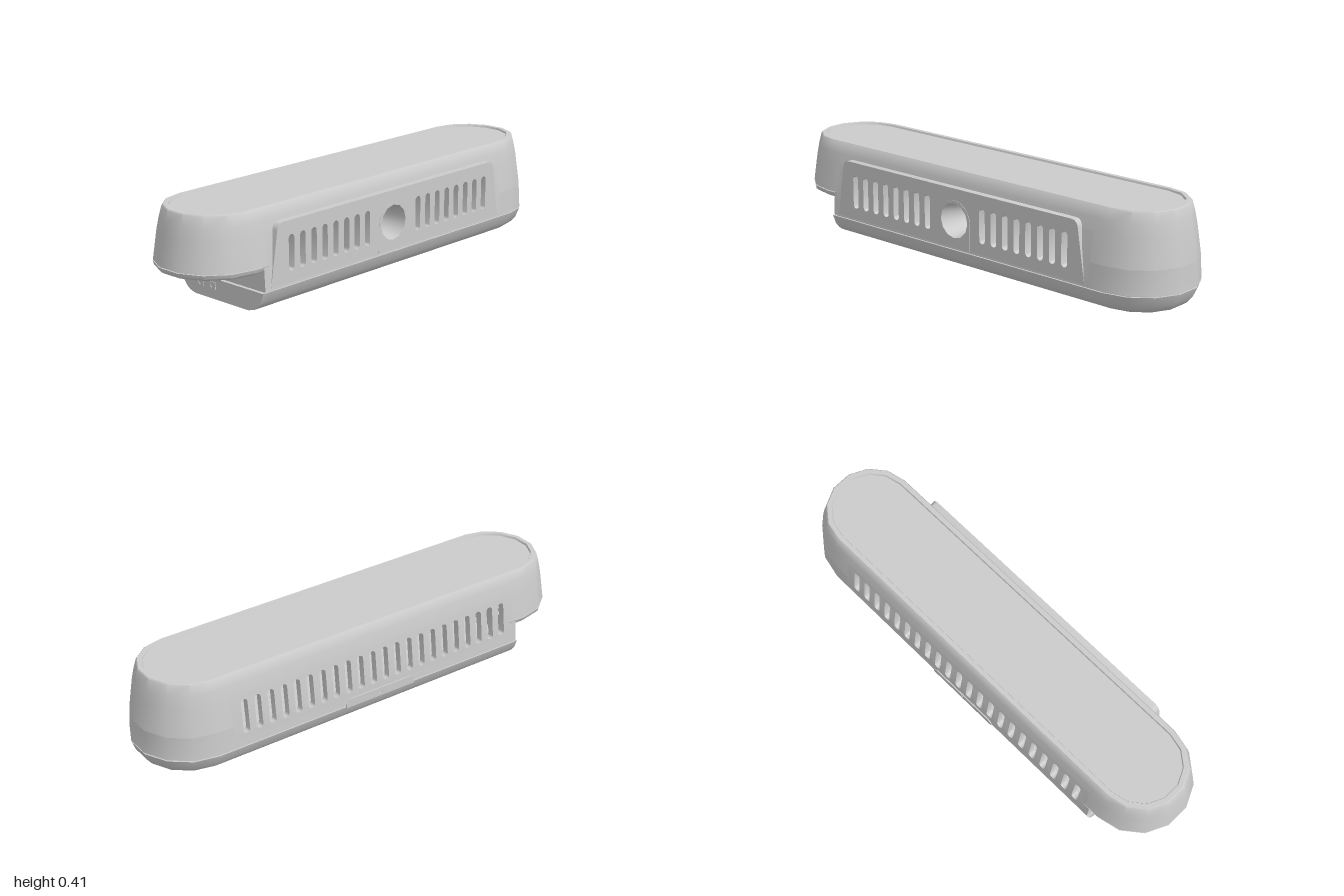
import * as THREE from 'three';
import { toCreasedNormals } from 'three/addons/utils/BufferGeometryUtils.js';

const MAT = new THREE.MeshStandardMaterial({ color: 0xcccccc, side: THREE.DoubleSide });
const CX = 0.768;      // centre of the rounded ends
const GX = 0.7;        // half length of the slotted walls
const ARC = 7;         // sides per rounded end
const PITCH = 0.061;
const BAND = [0.12, 0.31]; // height range of the slotted walls

// Stadium outline, clamped in x to cut an end off square
function outline(r, lo, hi) {
  const pts = [];
  for (const s of [1, -1]) {
    for (let i = 0; i <= ARC; i++) {
      const a = -Math.PI / 2 + (Math.PI * i) / ARC;
      pts.push([s * (CX + r * Math.cos(a)), s * r * Math.sin(a)]);
    }
    pts.push([s * GX, s * r], [-s * GX, s * r]);
  }
  return pts.map(([x, z]) => [Math.min(hi, Math.max(lo, x)), z]);
}

// Skin through stadium rings [y, r]; can leave windows for the slotted walls
function loft(rings, { lo = -9, hi = 9, capTop = false, capBottom = false, windows = false } = {}) {
  const pos = [];
  const loops = rings.map(([y, r]) => outline(r, lo, hi).map(([x, z]) => [x, y, z]));
  const n = loops[0].length;
  const same = (a, b) => Math.hypot(a[0] - b[0], a[2] - b[2]) < 1e-5;
  for (let k = 0; k < loops.length - 1; k++) {
    const inBand = rings[k][0] >= BAND[0] && rings[k + 1][0] <= BAND[1];
    for (let i = 0; i < n; i++) {
      const j = (i + 1) % n;
      const a = loops[k][i], b = loops[k][j], c = loops[k + 1][j], d = loops[k + 1][i];
      if (same(a, b)) continue;
      if (windows && inBand && Math.abs(a[0] - b[0]) > 2 * GX - 0.01) continue;
      pos.push(...a, ...d, ...b, ...b, ...d, ...c);
    }
  }
  const cap = (loop, up) => {
    const xs = loop.map(p => p[0]);
    const mid = [(Math.min(...xs) + Math.max(...xs)) / 2, loop[0][1], 0];
    loop.forEach((p, i) => {
      const q = loop[(i + 1) % n];
      if (!same(p, q)) pos.push(...mid, ...(up ? q : p), ...(up ? p : q));
    });
  };
  if (capTop) cap(loops[loops.length - 1], true);
  if (capBottom) cap(loops[0], false);
  const g = new THREE.BufferGeometry();
  g.setAttribute('position', new THREE.Float32BufferAttribute(pos, 3));
  return toCreasedNormals(g, 0.6);
}

// Half depth of the upper wall at a height
const WALL = [[0.09, 0.235], [0.12, 0.233], [0.19, 0.229], [0.31, 0.212], [0.36, 0.202], [0.404, 0.19]];
function wallAt(y) {
  let k = 0;
  while (k < WALL.length - 2 && y > WALL[k + 1][0]) k++;
  const [y0, r0] = WALL[k], [y1, r1] = WALL[k + 1];
  return r0 + ((r1 - r0) * (y - y0)) / (y1 - y0);
}

function poly(points) {
  return new THREE.Shape(points.map(p => new THREE.Vector2(...p)));
}

function slot(x, w = 0.015, y0 = 0.143, y1 = 0.288) {
  const h = new THREE.Path();
  h.absarc(x, y1 - w, w, 0, Math.PI, false);
  h.absarc(x, y0 + w, w, Math.PI, 2 * Math.PI, false);
  h.closePath();
  return h;
}

function circle(x, y, r) {
  return new THREE.Path().absarc(x, y, r, 0, Math.PI * 2, false);
}

function extrude(shape, depth) {
  return new THREE.ExtrudeGeometry(shape, { depth, bevelEnabled: false, curveSegments: 6 });
}

// Slotted wall bent to follow the body profile
function slottedWall(xs, lens) {
  const s = poly([[-GX, BAND[0]], [GX, BAND[0]], [GX, 0.19], [GX, BAND[1]], [-GX, BAND[1]], [-GX, 0.19]]);
  xs.forEach(x => s.holes.push(slot(x)));
  if (lens) s.holes.push(circle(0, 0.21, 0.075));
  const g = extrude(s, 0.03), p = g.attributes.position;
  for (let i = 0; i < p.count; i++) p.setZ(i, p.getZ(i) - 0.03 + wallAt(p.getY(i)));
  return toCreasedNormals(g, 0.5);
}

export function createModel() {
  const model = new THREE.Group();
  const add = (name, geo, x = 0, y = 0, z = 0) => {
    const m = new THREE.Mesh(geo, MAT);
    m.name = name;
    m.position.set(x, y, z);
    model.add(m);
    return m;
  };

  // Rounded base, cut square at the right end
  const cut = { lo: -0.73 };
  add('base', loft([[0, 0.15], [0.008, 0.18], [0.022, 0.2], [0.045, 0.219], [0.084, 0.234]], { ...cut, capTop: true }));
  const floor = poly(outline(0.15, -0.73, 9).filter((p, i, a) =>
    Math.hypot(p[0] - a[(i + 1) % a.length][0], p[1] - a[(i + 1) % a.length][1]) > 1e-5));
  for (const x of [-0.45, 0.45]) {
    const w = 0.016;
    floor.holes.push(new THREE.Path([[x - w, -w], [x - w, w], [x + w, w], [x + w, -w]].map(p => new THREE.Vector2(...p))));
  }
  add('baseFloor', new THREE.ShapeGeometry(floor).rotateX(Math.PI / 2));

  // Recessed seam between base and upper shell
  add('seam', loft([[0.08, 0.226], [0.094, 0.226]], { lo: -0.715 }));

  // Upper shell: short lower wall, then the full length above the notch
  add('lowerShell', loft([[0.09, 0.226], ...WALL.slice(0, 3)], { lo: -0.72, windows: true }));
  add('upperShell', loft([...WALL.slice(2), [0.408, 0.186], [0.408, 0.167], [0.4, 0.164]], { windows: true, capTop: true }));

  // Overhanging end with a thin lip underneath
  add('overhangSeam', loft([[0.18, 0.222], [0.2, 0.222]], { hi: -0.71 }));
  add('overhangLip', loft([[0.165, 0.218], [0.172, 0.226], [0.187, 0.23], [0.187, 0.222]],
    { hi: -0.69, capBottom: true, capTop: true }));
  add('overhangFloor', loft([[0.191, 0.222], [0.191, 0.229]], { hi: -0.72 }));

  // Slotted front and back walls
  const frontSlots = [], backSlots = [];
  for (let i = 0; i < 8; i++) for (const s of [-1, 1]) frontSlots.push(s * (2.5 + i) * PITCH);
  for (let i = 0; i < 22; i++) backSlots.push((i - 10.5) * PITCH);
  add('frontWall', slottedWall(frontSlots, true));
  add('backWall', slottedWall(backSlots, false)).rotation.y = Math.PI;

  // Upright front panel with rounded upper corners
  const panel = new THREE.Shape();
  panel.moveTo(-0.69, 0.096);
  panel.lineTo(0.68, 0.096);
  panel.lineTo(0.645, 0.315);
  panel.quadraticCurveTo(0.64, 0.345, 0.61, 0.345);
  panel.lineTo(-0.62, 0.345);
  panel.quadraticCurveTo(-0.65, 0.345, -0.655, 0.315);
  panel.closePath();
  frontSlots.forEach(x => panel.holes.push(slot(x)));
  panel.holes.push(circle(0, 0.21, 0.075));
  add('frontPanel', toCreasedNormals(extrude(panel, 0.036), 0.5), 0, 0, 0.199);

  // Arched surround and lens recess
  const arch = new THREE.Shape();
  arch.moveTo(-0.086, 0.096);
  arch.lineTo(0.086, 0.096);
  arch.absarc(0, 0.21, 0.086, 0, Math.PI, false);
  arch.closePath();
  arch.holes.push(circle(0, 0.21, 0.074));
  add('lensSurround', toCreasedNormals(extrude(arch, 0.004), 0.5), 0, 0, 0.233);
  const barrel = [[0, 0.1], [0.058, 0.1], [0.062, 0.16], [0.074, 0.236]].map(p => new THREE.Vector2(...p));
  add('lensRecess', toCreasedNormals(new THREE.LatheGeometry(barrel, 20).rotateX(Math.PI / 2), 0.5), 0, 0.21, 0);

  // Latch tab at the back with a small hole
  const tab = poly([[-0.17, 0.08], [0.17, 0.08], [0.17, 0.1], [0.15, 0.117], [-0.15, 0.117], [-0.17, 0.1]]);
  tab.holes.push(circle(0, 0.098, 0.007));
  add('latchTab', extrude(tab, 0.008), 0, 0, -0.238);

  // Small sockets on the square-cut end
  for (const z of [-0.12, -0.05]) {
    const rim = poly([[-0.018, -0.014], [0.018, -0.014], [0.018, 0.014], [-0.018, 0.014]]);
    rim.holes.push(circle(0, 0, 0.01));
    add('socket', extrude(rim, 0.004).rotateY(-Math.PI / 2), -0.729, 0.055, z);
  }
  return model;
}
